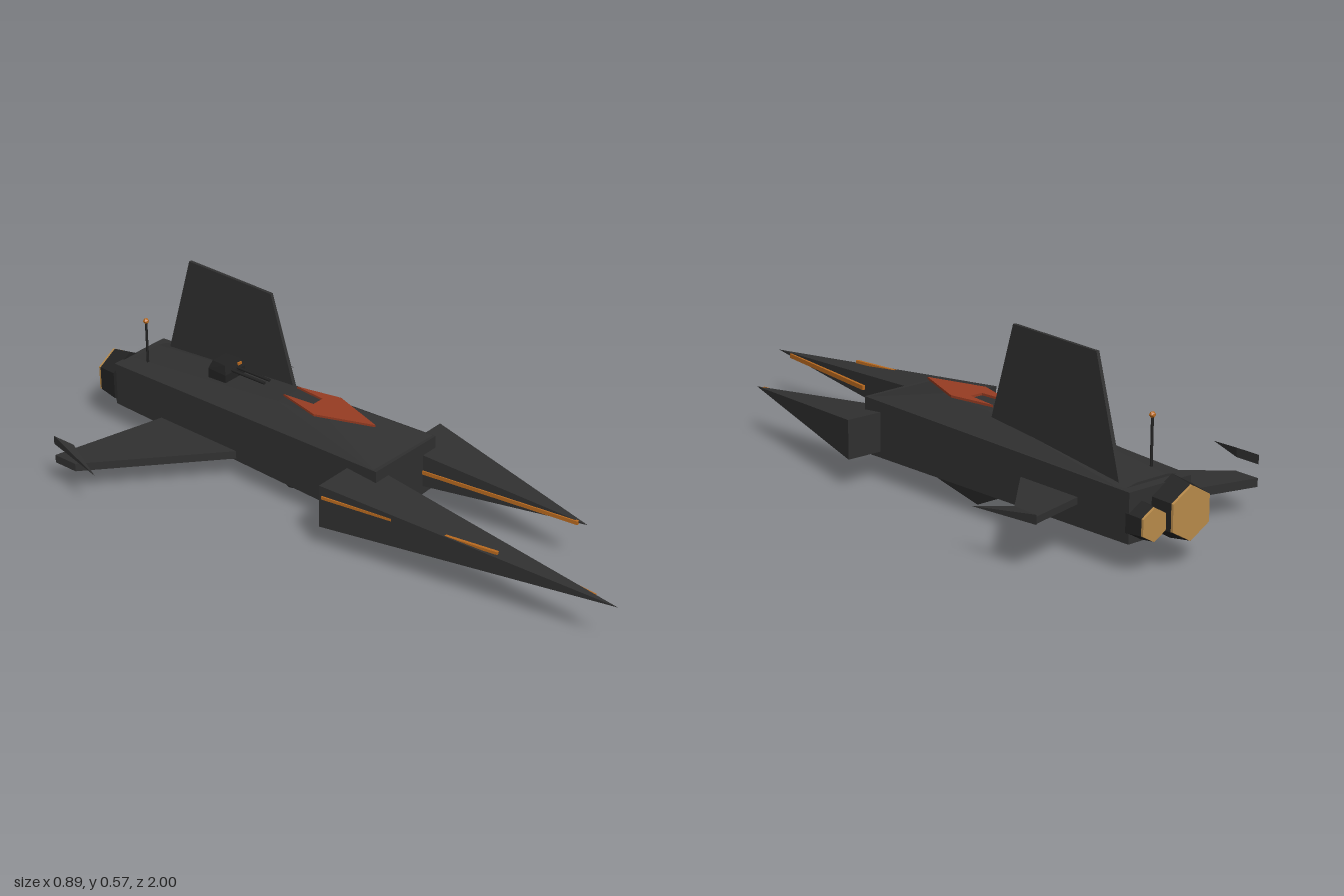
import * as THREE from 'three';
import { ConvexGeometry } from 'three/addons/geometries/ConvexGeometry.js';

const mat = (name, color) => {
  const m = new THREE.MeshStandardMaterial({ color });
  m.name = name;
  return m;
};

export function createModel() {
  const g = new THREE.Group();
  g.name = 'starfighter';
  const hullMat = mat('dark hull', 0x303030);
  const trimMat = mat('black trim', 0x222222);
  const redMat = mat('rust red', 0x963c22);
  const orangeMat = mat('orange stripe', 0xb8691f);
  const goldMat = mat('gold exhaust', 0xb88a4a);

  const add = (name, geo, m, x = 0, y = 0, z = 0) => {
    const mesh = new THREE.Mesh(geo, m);
    mesh.name = name;
    mesh.position.set(x, y, z);
    g.add(mesh);
    return mesh;
  };
  // faceted solid around a few corner points
  const solid = (name, pts, m = hullMat) =>
    add(name, new ConvexGeometry(pts.map(p => new THREE.Vector3(...p))), m);
  // rectangle corners at one z
  const rect = (x0, x1, y0, y1, z) => [[x0, y0, z], [x1, y0, z], [x0, y1, z], [x1, y1, z]];
  // flat plate from an x-z outline
  const plate = (name, outline, y0, y1) =>
    solid(name, outline.flatMap(([x, z]) => [[x, y0, z], [x, y1, z]]));
  // thin bar between two points
  const bar = (name, a, b, w, h, m) => {
    const p = new THREE.Vector3(...a), q = new THREE.Vector3(...b);
    const mesh = add(name, new THREE.BoxGeometry(w, h, p.distanceTo(q)), m);
    mesh.position.copy(p).add(q).multiplyScalar(0.5);
    mesh.lookAt(q);
  };
  const rod = (name, r, len, m, x, y, z, alongZ) => {
    const geo = new THREE.CylinderGeometry(r, r, len, 8);
    if (alongZ) geo.rotateX(Math.PI / 2);
    return add(name, geo, m, x, y, z);
  };

  // fuselage and raised back
  solid('fuselage', [
    [-0.037, 0.06, 0.15], [0.248, 0.07, 0.15], [-0.037, 0.249, 0.15], [0.248, 0.243, 0.15],
    ...rect(-0.01, 0.215, 0.085, 0.228, -0.93)]);
  solid('dorsalHump', [
    [-0.037, 0.246, 0.15], [0.248, 0.241, 0.15],
    [0.05, 0.293, -0.1], [0.16, 0.293, -0.1],
    [0.05, 0.289, -0.3], [0.16, 0.289, -0.3],
    [-0.005, 0.226, -0.9], [0.21, 0.226, -0.9],
    [0.05, 0.236, -0.9], [0.16, 0.236, -0.9]]);

  // forward prongs of unequal length
  solid('rightProng', [...rect(-0.163, 0.03, 0.08, 0.22, 0.04), [-0.047, 0.147, 1]]);
  solid('leftProng', [...rect(0.18, 0.363, 0.09, 0.21, 0.08), [0.25, 0.147, 0.7]]);

  // prong stripes
  bar('outerStripe', [-0.163, 0.184, 0.05], [-0.08, 0.184, 0.62], 0.009, 0.009, orangeMat);
  bar('innerStripe', [0.001, 0.145, 0.48], [-0.039, 0.145, 0.92], 0.009, 0.014, orangeMat);
  bar('leftProngStripe', [0.183, 0.145, 0.1], [0.246, 0.145, 0.67], 0.009, 0.012, orangeMat);

  // wings and pointed tips
  plate('rightWing', [[0.02, -0.72], [0.02, -0.37], [-0.39, -0.735], [-0.39, -0.82]], 0.08, 0.106);
  plate('leftWing', [[0.2, -0.735], [0.2, -0.49], [0.41, -0.7], [0.41, -0.785]], 0.146, 0.166);
  const tip = (name, x, tx, z0, z1, tz) => solid(name, [
    [x, 0.146, z0], [x, 0.174, z0], [x, 0.146, z1], [x, 0.174, z1], [tx, 0.146, tz]]);
  tip('rightWingTip', -0.391, -0.449, -0.82, -0.735, -0.59);
  tip('leftWingTip', 0.411, 0.446, -0.79, -0.7, -0.57);

  // tail fin, turned slightly outward
  const finPair = (x, w, y, z) => [[x - w, y, z], [x + w, y, z]];
  solid('tailFin', [
    ...finPair(0.164, 0.007, 0.25, -0.32), ...finPair(0.168, 0.005, 0.567, -0.42),
    ...finPair(0.18, 0.005, 0.567, -0.765), ...finPair(0.184, 0.007, 0.215, -0.87)]);

  // belly keel and gun
  solid('bellyKeel', [
    [0.02, 0.072, 0.02], [0.19, 0.072, 0.02], [0.02, 0.075, -0.315], [0.19, 0.075, -0.315],
    [0.05, 0, -0.26], [0.163, 0, -0.26]]);
  rod('bellyGun', 0.01, 0.265, trimMat, 0.105, 0.04, 0.233, true);

  // forked red emblem plate
  const outline = [[0.105, 0.035], [0.17, -0.15], [0.14, -0.3], [0.13, -0.19],
    [0.088, -0.19], [0.078, -0.3], [0.04, -0.15]];
  const shape = new THREE.Shape(outline.map(([x, z]) => new THREE.Vector2(x, -z)));
  const emblem = new THREE.ExtrudeGeometry(shape, { depth: 0.007, bevelEnabled: false });
  emblem.rotateX(-Math.PI / 2);
  add('backPlate', emblem, redMat, 0, 0.294, 0);

  // twin-barrelled turret
  solid('turret', [
    ...rect(0.06, 0.15, 0.255, 0.295, -0.52), ...rect(0.065, 0.145, 0.255, 0.295, -0.595),
    ...rect(0.07, 0.14, 0.3, 0.322, -0.53), ...rect(0.075, 0.135, 0.3, 0.322, -0.585)], trimMat);
  for (const x of [0.094, 0.118]) rod('turretBarrel', 0.005, 0.14, trimMat, x, 0.3, -0.46, true);
  add('turretLens', new THREE.BoxGeometry(0.016, 0.008, 0.008), orangeMat, 0.13, 0.309, -0.525);

  // antenna
  rod('antennaMast', 0.004, 0.15, trimMat, 0.049, 0.305, -0.84);
  add('antennaBall', new THREE.IcosahedronGeometry(0.01, 0), orangeMat, 0.049, 0.385, -0.84);

  // six-sided engine nozzles with gold exhaust faces
  const nozzle = (name, x, y, r, z0, z1) => {
    const hex = (a, b, len) => new THREE.CylinderGeometry(a, b, len, 6).toNonIndexed().rotateX(Math.PI / 2);
    const prep = geo => { geo.computeVertexNormals(); return geo; };
    const len = z0 - z1 - 0.007;
    add(name + 'Nozzle', prep(hex(r, r * 0.87, len)), trimMat, x, y, z0 - len / 2);
    add(name + 'Exhaust', prep(hex(r * 0.87, r * 0.86, 0.007)), goldMat, x, y, z1 + 0.0035);
  };
  nozzle('right', 0.056, 0.155, 0.09, -0.925, -1);
  nozzle('left', 0.17, 0.143, 0.055, -0.92, -0.98);

  return g;
}
